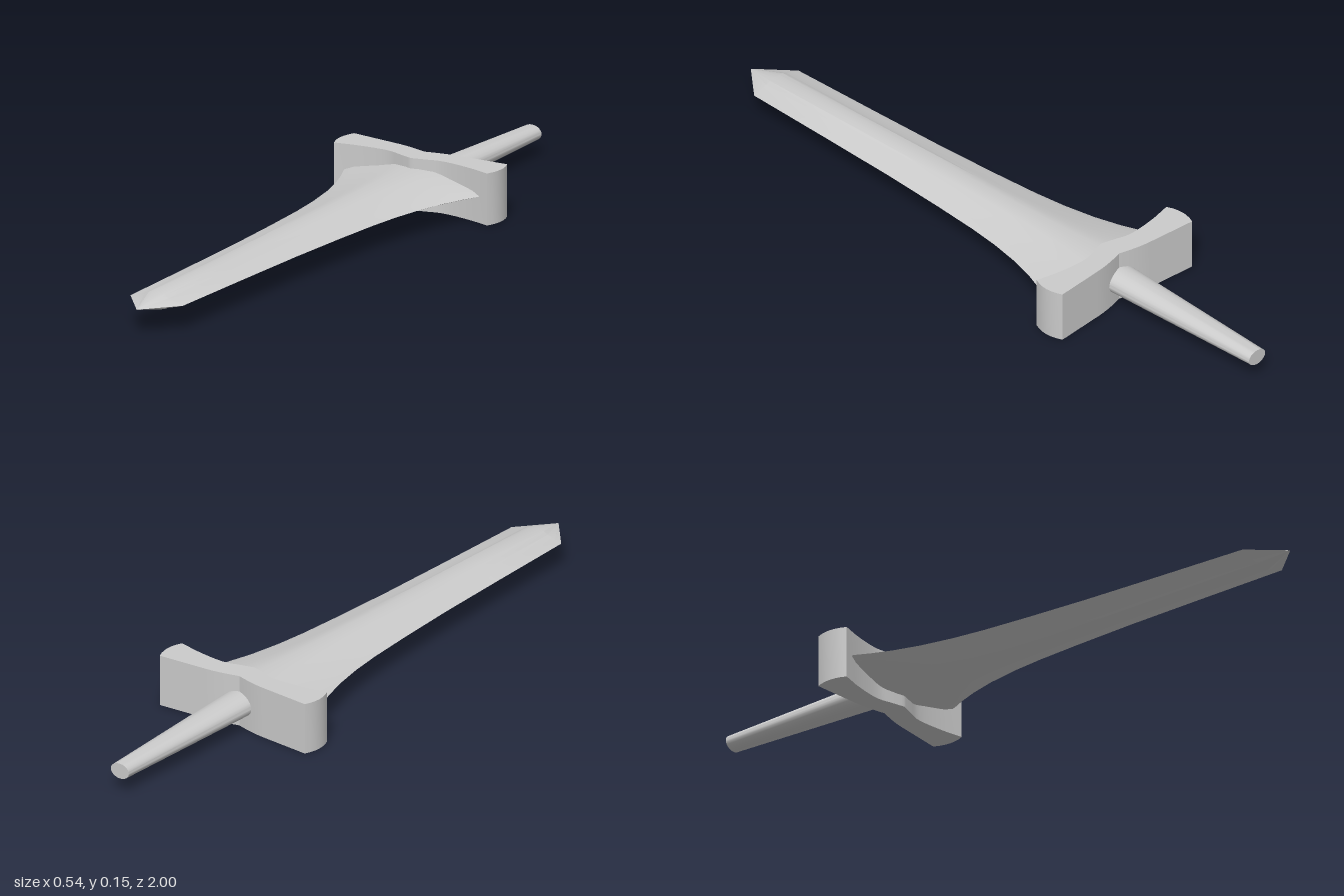
import * as THREE from 'three';
import { toCreasedNormals } from 'three/addons/utils/BufferGeometryUtils.js';

const material = new THREE.MeshStandardMaterial({ color: 0xcccccc });
const lerp = THREE.MathUtils.lerp;

// Skin a list of rings (equal point counts, counter-clockwise seen from +z, running towards +z)
function loft(rings, crease) {
  const n = rings[0].length, pos = rings.flat(2), index = [];
  for (let r = 0; r < rings.length - 1; r++) {
    for (let i = 0; i < n; i++) {
      const j = (i + 1) % n, a = r * n + i, b = r * n + j;
      index.push(a, b, b + n, a, b + n, a + n);
    }
  }
  // End caps as fans around a centre point
  [[0, true], [rings.length - 1, false]].forEach(([r, back]) => {
    const c = pos.length / 3;
    const mid = rings[r].reduce((s, p) => s.map((v, k) => v + p[k] / n), [0, 0, 0]);
    pos.push(...mid);
    for (let i = 0; i < n; i++) {
      const a = r * n + i, b = r * n + (i + 1) % n;
      index.push(c, ...(back ? [b, a] : [a, b]));
    }
  });
  const geo = new THREE.BufferGeometry();
  geo.setAttribute('position', new THREE.Float32BufferAttribute(pos, 3));
  geo.setIndex(index);
  return toCreasedNormals(geo, crease);
}

function part(name, geometry) {
  const mesh = new THREE.Mesh(geometry, material);
  mesh.name = name;
  return mesh;
}

// Blade section: quarter profile as fractions of half width and half height, mirrored all round
const rootQuarter = [[1, 0], [0.87, 0.24], [0.5, 0.6], [0.27, 0.92], [0.1, 1]];
const endQuarter = [[1, 0], [0.75, 0.3], [0.46, 0.6], [0.3, 0.9], [0.13, 1]];
function bladeRing(z, w, h, t) {
  const q = rootQuarter.map((p, i) => [lerp(p[0], endQuarter[i][0], t) * w, lerp(p[1], endQuarter[i][1], t) * h]);
  const top = [...q, ...q.slice(1).reverse().map(([x, y]) => [-x, y]), [-w, 0]];
  const bottom = top.slice(1, -1).reverse().map(([x, y]) => [x, -y]);
  return [...top, ...bottom].map(([x, y]) => [x, y + 0.078, z]);
}

function makeBlade() {
  // Half widths flare towards the guard
  const stations = [[-0.42, 0.237], [-0.38, 0.222], [-0.34, 0.203], [-0.28, 0.18], [-0.2, 0.157], [-0.1, 0.138],
    [0, 0.126], [0.15, 0.115], [0.35, 0.104], [0.6, 0.096], [0.9, 0.088]];
  const rings = stations.map(([z, w]) => {
    const t = (z + 0.42) / 1.32;
    return bladeRing(z, w, lerp(0.045, 0.023, t), t);
  });
  rings.push(bladeRing(1, 0.001, 0.0005, 1));
  return part('blade', loft(rings, 0.3));
}

function makeGuard() {
  // Plan outline drawn as (x, -z), extruded upwards
  const s = new THREE.Shape();
  s.moveTo(-0.257, 0.385);
  s.lineTo(-0.2, 0.398);
  s.quadraticCurveTo(-0.1, 0.415, -0.07, 0.405);
  s.quadraticCurveTo(-0.03, 0.392, 0, 0.385);
  s.quadraticCurveTo(0.03, 0.392, 0.07, 0.405);
  s.quadraticCurveTo(0.1, 0.415, 0.2, 0.398);
  s.lineTo(0.257, 0.385);
  s.quadraticCurveTo(0.282, 0.435, 0.257, 0.487);
  s.lineTo(0.11, 0.476);
  s.quadraticCurveTo(0.06, 0.473, 0, 0.455);
  s.quadraticCurveTo(-0.06, 0.473, -0.11, 0.476);
  s.lineTo(-0.257, 0.487);
  s.quadraticCurveTo(-0.282, 0.435, -0.257, 0.385);
  const geo = new THREE.ExtrudeGeometry(s, { depth: 0.153, bevelEnabled: false, curveSegments: 6 });
  geo.rotateX(-Math.PI / 2);
  return part('guard', toCreasedNormals(geo, 0.5));
}

function makeGrip() {
  // Oval tapered grip
  const oval = (z, w, h, y) => Array.from({ length: 24 }, (_, i) => {
    const a = i / 24 * Math.PI * 2;
    return [Math.cos(a) * w, y + Math.sin(a) * h, z];
  });
  return part('grip', loft([oval(-1, 0.032, 0.023, 0.064), oval(-0.44, 0.054, 0.036, 0.07)], 0.6));
}

export function createModel() {
  const group = new THREE.Group();
  group.name = 'sword';
  group.add(makeBlade(), makeGuard(), makeGrip());
  return group;
}
